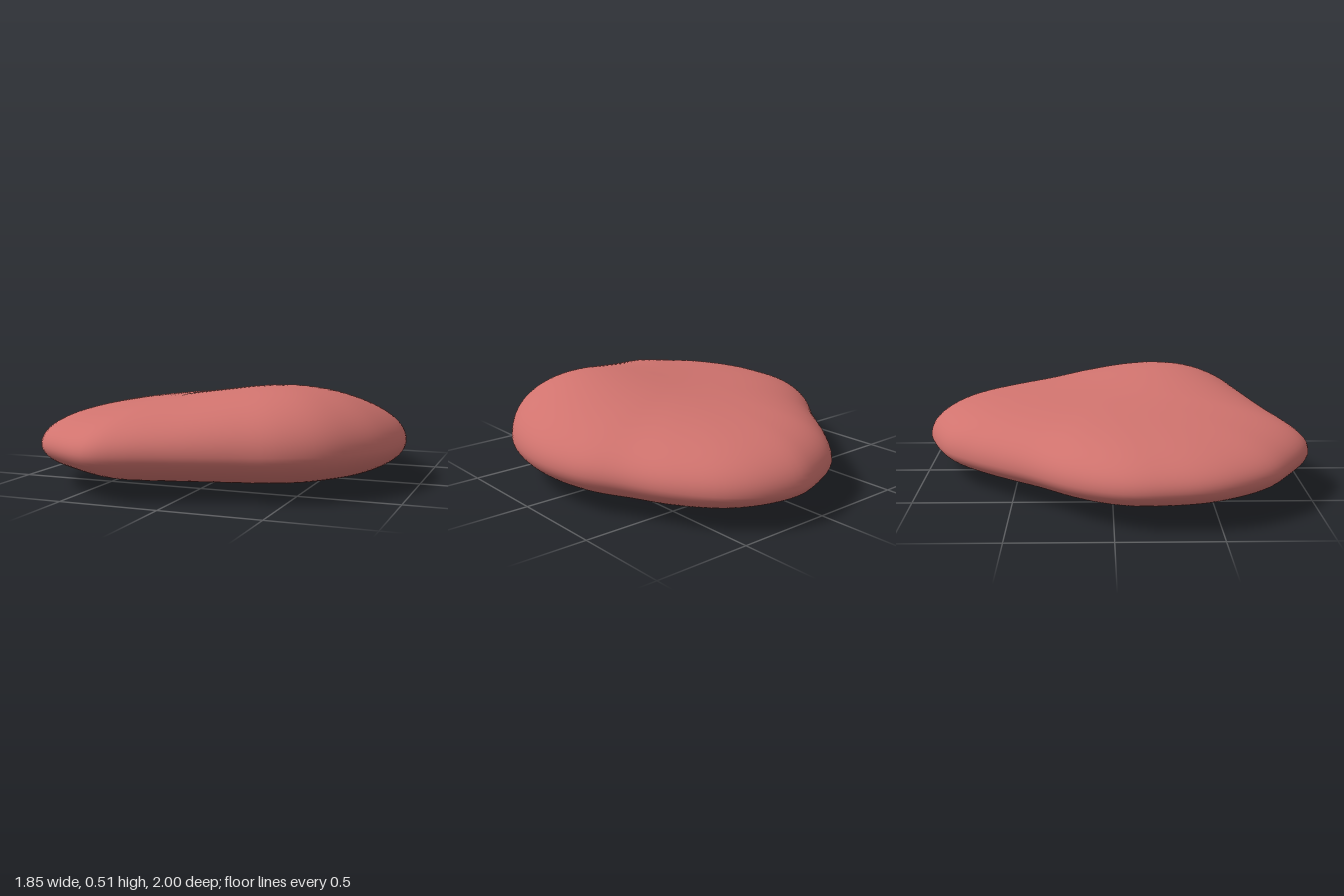
import * as THREE from 'three';
import { mergeVertices } from 'three/addons/utils/BufferGeometryUtils.js';

// Plan outline (x, z), running back, right, front, left
const OUTLINE = [
  [0.14, -1], [0.35, -0.96], [0.5, -0.87], [0.65, -0.68], [0.76, -0.46], [0.87, -0.25],
  [0.92, 0.02], [0.88, 0.3], [0.79, 0.48], [0.67, 0.63], [0.5, 0.735], [0.3, 0.8],
  [0, 0.9], [-0.25, 0.985], [-0.35, 1], [-0.43, 0.975], [-0.6, 0.87], [-0.74, 0.76],
  [-0.86, 0.57], [-0.91, 0.42], [-0.925, 0.25], [-0.92, 0.1], [-0.88, -0.03],
  [-0.78, -0.2], [-0.6, -0.41], [-0.48, -0.57], [-0.37, -0.71], [-0.22, -0.86], [0, -0.965],
];

// Height of the widest line, the domed top and the shallow keel below
const rimY = (x, z) => 0.2 + 0.025 * z + 0.01 * x;
const topY = (x, z) => 0.41 + 0.135 * Math.exp(-((x - 0.55) ** 2 + (z - 0.45) ** 2) / 0.45);
const keelY = (x, z) => 0.052 * (1 - Math.exp(-2.5 * ((x - 0.25) ** 2 + (z + 0.15) ** 2)));

function pebbleGeometry(around = 120, rows = 64) {
  const curve = new THREE.CatmullRomCurve3(
    OUTLINE.map(([x, z]) => new THREE.Vector3(x, 0, z)), true);
  const ring = curve.getSpacedPoints(around).slice(0, around);
  const positions = [];
  const indices = [];

  // Rings run from the crown, out over the rim, to the underside
  for (let i = 0; i <= rows; i++) {
    const upper = i <= rows / 2;
    const r = i === rows ? 0 : Math.sin((i / rows) * Math.PI);
    for (const p of ring) {
      const x = p.x * r, z = p.z * r;
      const rim = rimY(x, z);
      const limit = upper ? topY(x, z) : keelY(x, z);
      // Fuller shoulders towards the front and back ends
      const power = upper ? 3 + z * z : 4.6;
      const swell = Math.sqrt(Math.max(0, 1 - r ** power));
      positions.push(x, rim + (limit - rim) * swell, z);
    }
  }

  for (let i = 0; i < rows; i++) {
    for (let j = 0; j < around; j++) {
      const k = (j + 1) % around;
      const a = i * around + j, b = i * around + k;
      const c = a + around, d = b + around;
      if (i > 0) indices.push(a, b, c);
      if (i < rows - 1) indices.push(b, d, c);
    }
  }

  const shell = new THREE.BufferGeometry();
  shell.setAttribute('position', new THREE.Float32BufferAttribute(positions, 3));
  shell.setIndex(indices);
  const geometry = mergeVertices(shell, 1e-5);
  geometry.computeVertexNormals();
  return geometry;
}

export function createModel() {
  const group = new THREE.Group();
  group.name = 'pebble';
  const stoneRed = new THREE.MeshStandardMaterial({ color: 0xd0736e });
  stoneRed.name = 'stoneRed';
  const body = new THREE.Mesh(pebbleGeometry(), stoneRed);
  body.name = 'pebbleBody';
  group.add(body);
  return group;
}
